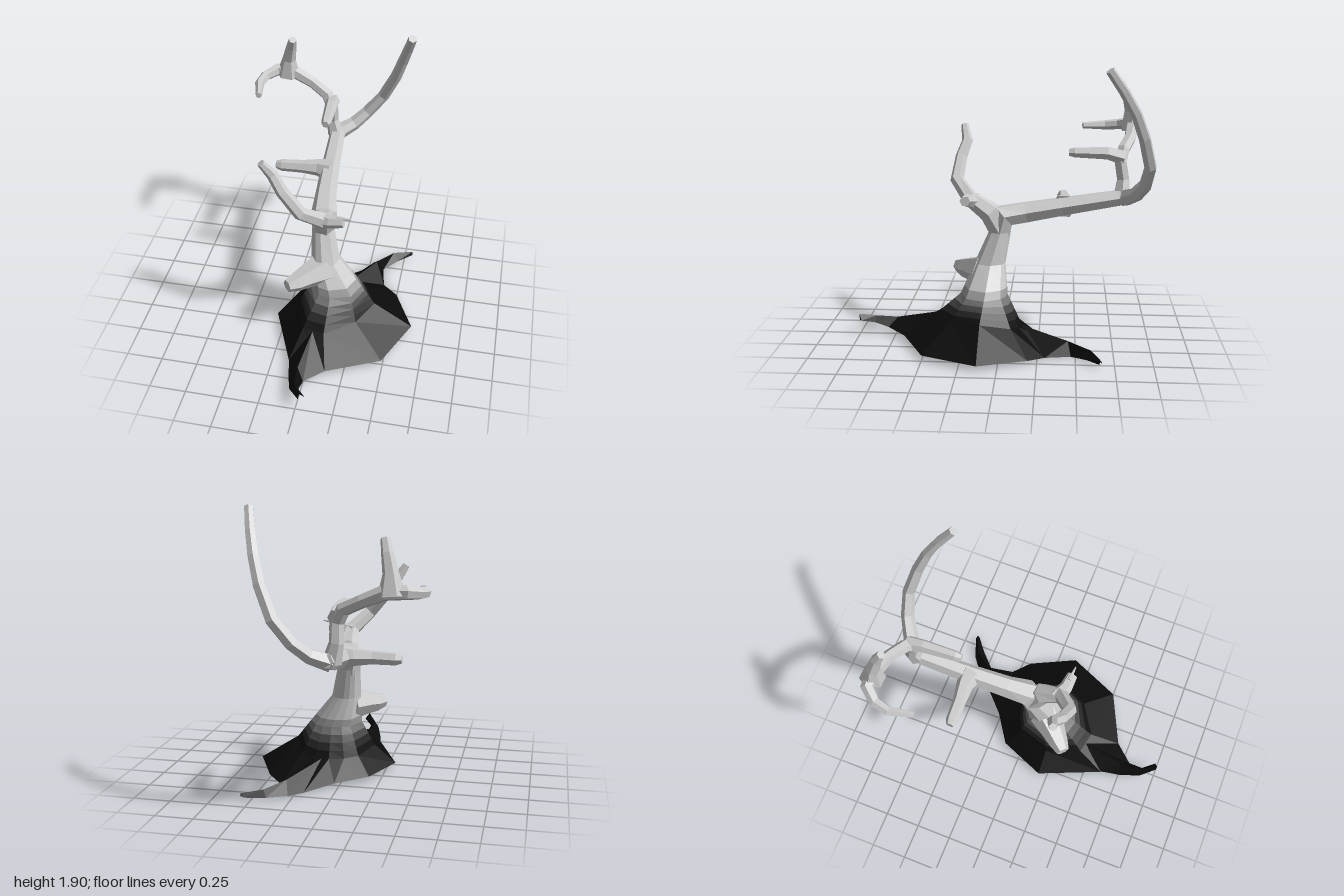
import * as THREE from 'three';

const paint = (grey) => new THREE.MeshStandardMaterial({
  color: new THREE.Color(grey), flatShading: true, side: THREE.DoubleSide,
});
const BARK = paint(0xcccccc);
const DARK = paint(0x0b0b0b);

// Skin a list of equal-length point rings; optional end caps.
function loft(name, rings, material, closed = true, caps = false) {
  const n = rings[0].length, pos = [], idx = [];
  rings.forEach((r) => r.forEach((p) => pos.push(...p)));
  for (let i = 0; i < rings.length - 1; i++) {
    for (let j = 0; j < (closed ? n : n - 1); j++) {
      const a = i * n + j, b = i * n + (j + 1) % n;
      idx.push(a, b, b + n, a, b + n, a + n);
    }
  }
  if (caps) {
    const e = (rings.length - 1) * n;
    for (let j = 1; j < n - 1; j++) idx.push(0, j + 1, j, e, e + j, e + j + 1);
  }
  const g = new THREE.BufferGeometry();
  g.setAttribute('position', new THREE.Float32BufferAttribute(pos, 3));
  g.setIndex(idx);
  g.computeVertexNormals();
  const mesh = new THREE.Mesh(g, material);
  mesh.name = name;
  return mesh;
}

// Tapered, angular limb through nodes of [x, y, z, radius].
function limb(name, nodes, sides = 6) {
  const pts = nodes.map((p) => new THREE.Vector3(p[0], p[1], p[2]));
  const last = pts.length - 1;
  const dir = (i) => pts[i + 1].clone().sub(pts[i]).normalize();
  const up = new THREE.Vector3();
  let prev = null;
  const rings = pts.map((p, i) => {
    const t = i === 0 ? dir(0) : i === last ? dir(last - 1) : dir(i - 1).add(dir(i)).normalize();
    if (!prev) {
      up.set(0, 1, 0);
      if (Math.abs(t.y) > 0.8) up.set(0, 0, 1);
      up.addScaledVector(t, -up.dot(t)).normalize();
    } else {
      up.applyQuaternion(new THREE.Quaternion().setFromUnitVectors(prev, t));
    }
    prev = t;
    const side = new THREE.Vector3().crossVectors(t, up);
    return Array.from({ length: sides }, (_, k) => {
      const a = (k + 0.5) / sides * Math.PI * 2, r = nodes[i][3];
      return p.clone().addScaledVector(up, Math.cos(a) * r).addScaledVector(side, Math.sin(a) * r).toArray();
    });
  });
  return loft(name, rings, BARK, true, true);
}

export function createModel() {
  const model = new THREE.Group();
  model.name = 'bareTree';

  // Flared foot: dark irregular skirt, open underneath
  const rim = [
    [0.39, 0, -0.3], [0.5, 0.02, -0.19], [0.65, 0.035, 0.13], [0.49, 0.035, 0.5], [0.13, 0.035, 0.67],
    [-0.13, 0.04, 0.62], [-0.31, 0.035, 0.19], [-0.18, 0.035, -0.13], [0.03, 0.02, -0.27], [0.2, 0, -0.43],
  ];
  const shoulder = [
    [0.2, 0.14, -0.12], [0.3, 0.16, -0.07], [0.38, 0.21, 0.13], [0.28, 0.2, 0.33], [0.08, 0.17, 0.46],
    [-0.07, 0.17, 0.43], [-0.16, 0.16, 0.19], [-0.09, 0.15, -0.05], [0, 0.14, -0.1], [0.1, 0.14, -0.13],
  ];
  const oval = (cx, y, cz, rx, rz) => shoulder.map(([x, , z]) => {
    const a = Math.atan2(z - 0.15, x - 0.1);
    return [cx + Math.cos(a) * rx, y, cz + Math.sin(a) * rz];
  });
  const mix = (A, B, t) => A.map((p, i) => p.map((v, k) => v + (B[i][k] - v) * t));
  const flare = oval(0.1, 0.34, 0.12, 0.18, 0.16);
  const neck = oval(0.02, 0.54, 0.085, 0.1, 0.105);
  const waist = oval(-0.01, 0.75, 0.02, 0.078, 0.075);
  model.add(loft('foot', [rim, shoulder], DARK));

  // Foot fades from dark to pale bark in narrow bands
  const fade = [0x101010, 0x252525, 0x484848, 0x757575, 0x9c9c9c, 0xbcbcbc];
  fade.forEach((c, i) => {
    const at = (k) => (k <= 4 ? mix(shoulder, flare, k / 4) : mix(flare, neck, (k - 4) / 4));
    model.add(loft('footBand' + (i + 1), [at(i), at(i + 1)], paint(c)));
  });
  model.add(loft('trunk', [mix(flare, neck, 0.5), neck, waist], BARK));

  // Ridged surface roots: left edge, ridge, right edge per section
  model.add(loft('frontRoot', [
    [[-0.13, 0.04, 0.6], [0, 0.17, 0.45], [0.13, 0.035, 0.67]],
    [[-0.1, 0.04, 0.76], [-0.04, 0.11, 0.74], [0.01, 0.05, 0.8]],
    [[-0.06, 0.07, 0.9], [-0.03, 0.12, 0.89], [0, 0.08, 0.9]],
    [[0.02, 0.1, 1], [0.03, 0.15, 1], [0.06, 0.11, 0.98]],
  ], DARK, false));
  model.add(loft('backRoot', [
    [[0.39, 0, -0.3], [0.15, 0.14, -0.13], [0.2, 0, -0.43]],
    [[0.36, 0, -0.47], [0.31, 0.09, -0.45], [0.28, 0.01, -0.53]],
    [[0.46, 0.02, -0.57], [0.42, 0.07, -0.6], [0.4, 0.02, -0.62]],
    [[0.56, 0.03, -0.65], [0.555, 0.055, -0.66], [0.54, 0.03, -0.67]],
  ], DARK, false));

  // Limbs, each a path of [x, y, z, radius]
  const limbs = {
    mainBough: [[-0.01, 0.72, 0.025, 0.076], [-0.01, 0.86, -0.01, 0.09], [-0.03, 0.88, -0.15, 0.076],
      [-0.05, 0.92, -0.4, 0.068], [-0.07, 0.98, -0.78, 0.058], [-0.06, 1.0, -0.87, 0.045]],
    frontFork: [[-0.01, 0.76, 0.02, 0.078], [0.01, 0.89, 0.09, 0.075], [0.01, 0.98, 0.22, 0.055],
      [-0.1, 1.09, 0.32, 0.047], [-0.22, 1.23, 0.3, 0.042], [-0.29, 1.33, 0.265, 0.038], [-0.355, 1.43, 0.29, 0.026]],
    frontKnob: [[-0.01, 0.96, 0.19, 0.06], [0.08, 0.98, 0.23, 0.045], [0.17, 0.995, 0.24, 0.036]],
    knobSpike: [[0.12, 1.02, 0.235, 0.016], [0.22, 1.03, 0.245, 0.004]],
    lowStub: [[0.01, 0.47, 0.12, 0.12], [-0.09, 0.46, 0.22, 0.085], [-0.15, 0.45, 0.28, 0.068], [-0.2, 0.45, 0.33, 0.045]],
    sideStub: [[-0.05, 0.92, -0.41, 0.085], [-0.14, 0.93, -0.42, 0.06], [-0.25, 0.93, -0.41, 0.046],
      [-0.4, 0.925, -0.405, 0.042], [-0.44, 0.925, -0.405, 0.028]],
    leftBackBranch: [[-0.07, 0.98, -0.82, 0.06], [0.04, 1.03, -0.89, 0.05], [0.13, 1.11, -0.94, 0.045],
      [0.24, 1.25, -0.96, 0.042], [0.33, 1.45, -0.91, 0.04], [0.38, 1.61, -0.85, 0.037],
      [0.42, 1.75, -0.77, 0.034], [0.455, 1.88, -0.68, 0.03]],
    rightBackBranch: [[-0.08, 0.98, -0.8, 0.062], [-0.11, 1.1, -0.81, 0.046], [-0.11, 1.22, -0.79, 0.045],
      [-0.15, 1.3, -0.81, 0.045], [-0.27, 1.36, -0.86, 0.042], [-0.41, 1.42, -0.885, 0.05],
      [-0.53, 1.425, -0.88, 0.046], [-0.6, 1.41, -0.8, 0.038], [-0.62, 1.4, -0.7, 0.034], [-0.585, 1.4, -0.54, 0.022]],
    innerStub: [[-0.11, 1.25, -0.81, 0.055], [-0.1, 1.28, -0.7, 0.045], [-0.09, 1.285, -0.48, 0.036], [-0.09, 1.285, -0.44, 0.025]],
    upperSpike: [[-0.45, 1.4, -0.885, 0.085], [-0.44, 1.53, -0.87, 0.048], [-0.415, 1.64, -0.84, 0.037], [-0.395, 1.72, -0.8, 0.028]],
  };
  for (const [name, nodes] of Object.entries(limbs)) model.add(limb(name, nodes));

  return model;
}
